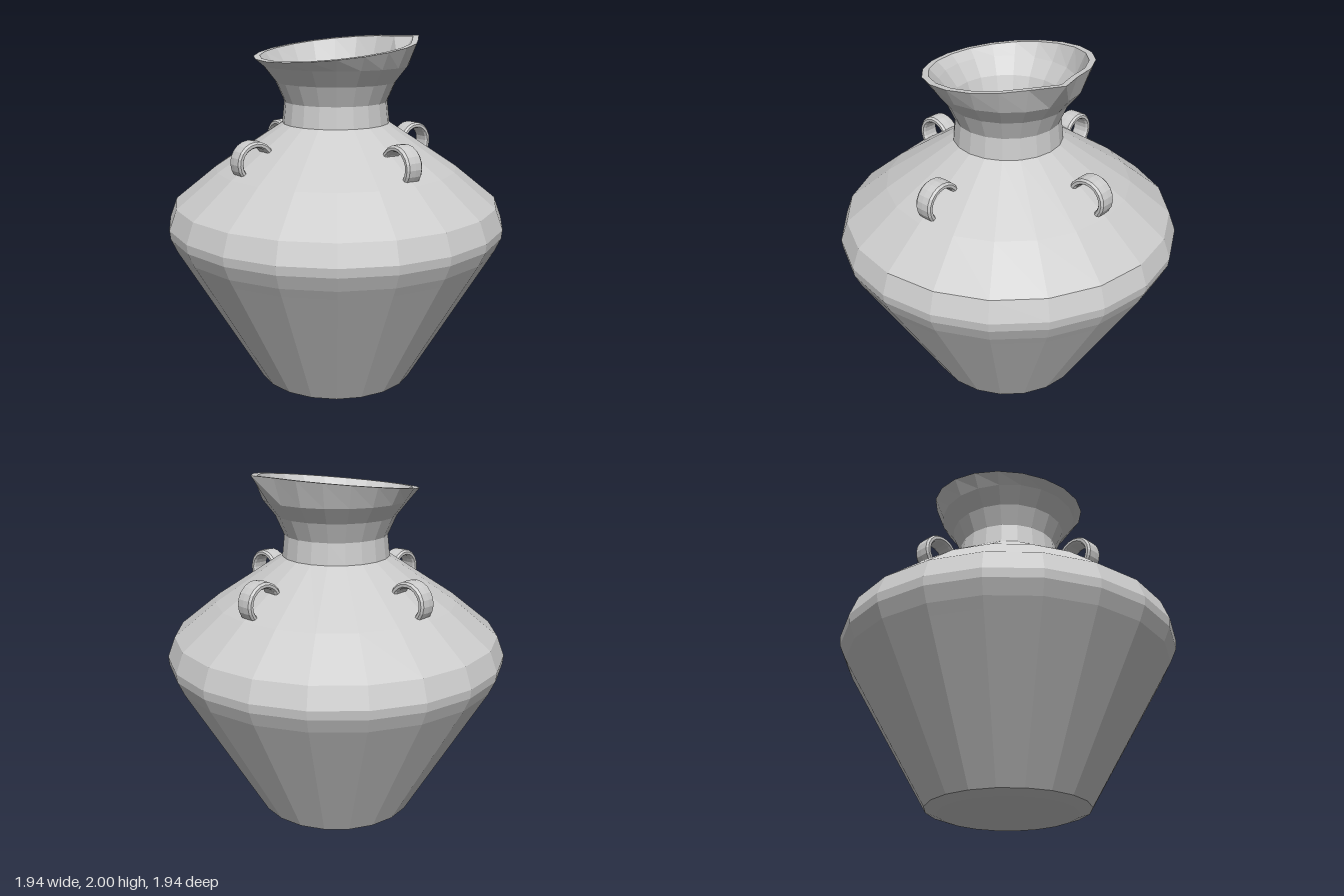
import * as THREE from 'three';

const SIDES = 20;
const RIM_Y = 1.943, RIM_TILT = 0.118;
const material = new THREE.MeshStandardMaterial({ color: 0xcccccc, flatShading: true, side: THREE.DoubleSide });

const toPoints = (pairs) => pairs.map(([r, y]) => new THREE.Vector2(r, y));

// Hollow vessel: outer wall from the foot up, over the rim, and back down inside
function makeVessel() {
  const outer = [
    [0, 0], [0.385, 0], [0.455, 0.025],                              // foot
    [0.895, 0.785], [0.927, 0.84], [0.963, 0.92], [0.968, 0.97],     // belly
    [0.925, 1.085], [0.69, 1.275], [0.305, 1.53],                    // shoulder
    [0.292, 1.65], [0.34, 1.76], [0.41, 1.85], [0.46, RIM_Y],        // neck and flare
  ];
  const inner = [
    [0.425, RIM_Y], [0.375, 1.85], [0.305, 1.76], [0.265, 1.65], [0.27, 1.51],
    [0.67, 1.24], [0.893, 1.07], [0.93, 0.97], [0.89, 0.84], [0.435, 0.04], [0, 0.04],
  ];
  const geo = new THREE.LatheGeometry(toPoints([...outer, ...inner]), SIDES);
  const pos = geo.attributes.position;
  const tipAngle = 0.4 * Math.PI; // the rim corner pulled out into a pouring lip
  for (let i = 0; i < pos.count; i++) {
    if (Math.abs(pos.getY(i) - RIM_Y) > 1e-4) continue;
    let x = pos.getX(i), z = pos.getZ(i);
    if (Math.abs(Math.atan2(x, z) - tipAngle) < 0.01) {
      const isOuter = Math.hypot(x, z) > 0.44;
      x = isOuter ? 0.497 : 0.46;
      z = isOuter ? 0.135 : 0.127;
    }
    pos.setXYZ(i, x, RIM_Y + RIM_TILT * x, z); // slanted mouth
  }
  const mesh = new THREE.Mesh(geo, material);
  mesh.name = 'vessel';
  return mesh;
}

// Small looped lug: a rounded strap section swept along an arc, ends sunk in the shoulder
function makeHandleGeometry() {
  const section = toPoints([
    [0.082, -0.04], [0.09, -0.052], [0.105, -0.052], [0.115, -0.04],
    [0.117, 0], [0.115, 0.04], [0.105, 0.052], [0.09, 0.052], [0.082, 0.04], [0.08, 0], [0.082, -0.04],
  ]);
  const deg = Math.PI / 180;
  const geo = new THREE.LatheGeometry(section, 12, 35 * deg, 215 * deg);
  geo.rotateX(Math.PI / 2);
  return geo.translate(0.565, 1.36, 0);
}

export function createModel() {
  const group = new THREE.Group();
  group.name = 'pot';
  group.add(makeVessel());

  const handles = new THREE.Group();
  handles.name = 'handles';
  handles.position.set(0.012, 0, -0.004);
  const geo = makeHandleGeometry();
  ['leftHandle', 'backHandle', 'rightHandle', 'frontHandle'].forEach((name, i) => {
    const handle = new THREE.Mesh(geo, material);
    handle.name = name;
    handle.rotation.y = i * Math.PI / 2;
    handles.add(handle);
  });
  group.add(handles);
  return group;
}
